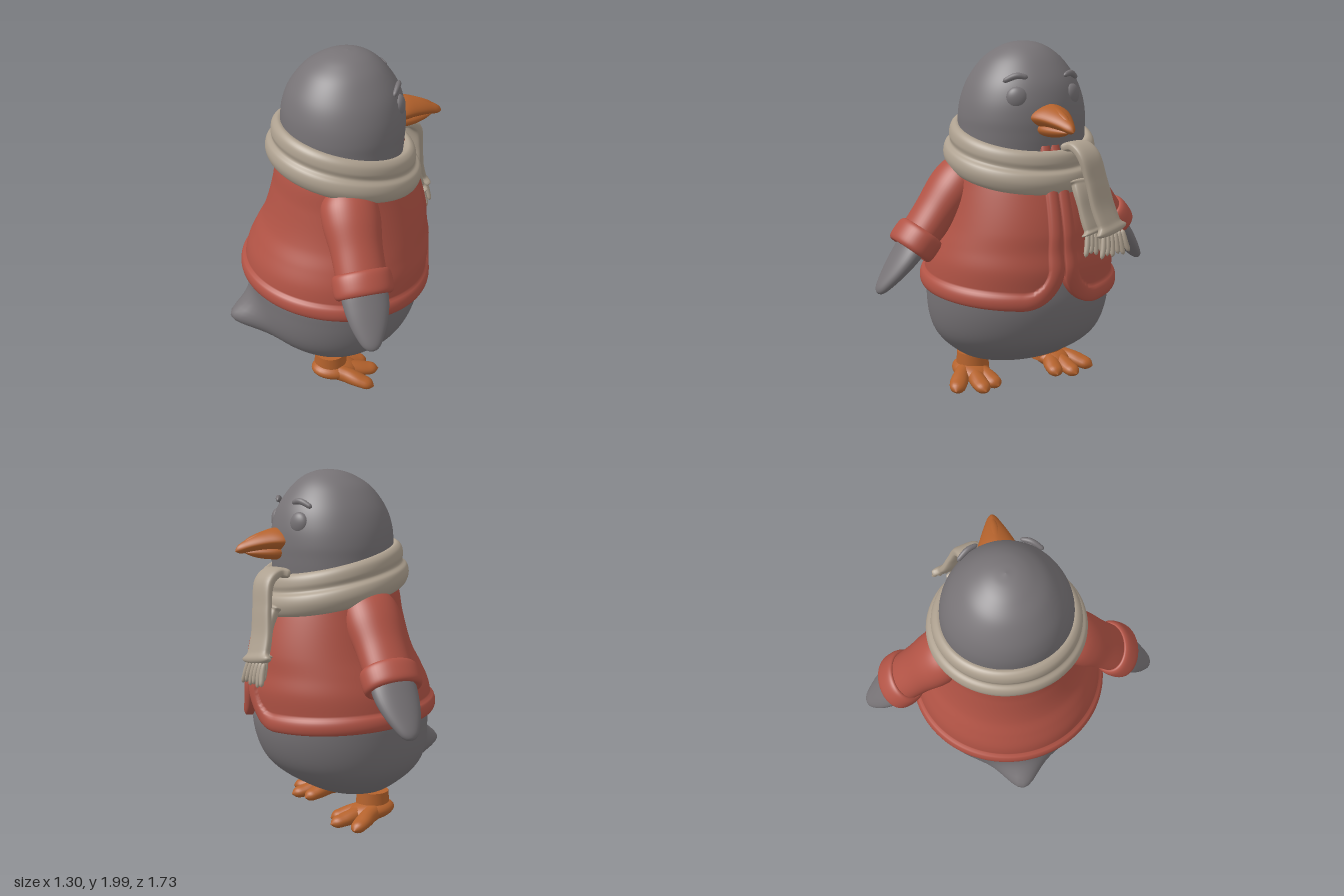
import * as THREE from 'three';

const V = (x, y, z) => new THREE.Vector3(x, y, z);
const TAU = Math.PI * 2;

const mats = {
  plumage: new THREE.MeshStandardMaterial({ color: 0x777376 }),
  coat: new THREE.MeshStandardMaterial({ color: 0xb15345, side: THREE.DoubleSide }),
  wool: new THREE.MeshStandardMaterial({ color: 0xada08f }),
  horn: new THREE.MeshStandardMaterial({ color: 0xb4622c }),
};
for (const k in mats) mats[k].name = k;

// Smooth surface, closed around u, open along v
function grid(nu, nv, f) {
  const pos = [], idx = [];
  for (let j = 0; j <= nv; j++) {
    for (let i = 0; i < nu; i++) {
      const p = f(i / nu, j / nv, j);
      pos.push(p.x, p.y, p.z);
      if (j === nv) continue;
      const a = j * nu + i, b = j * nu + (i + 1) % nu;
      idx.push(a, b, b + nu, a, b + nu, a + nu);
    }
  }
  const g = new THREE.BufferGeometry();
  g.setAttribute('position', new THREE.Float32BufferAttribute(pos, 3));
  g.setIndex(idx);
  g.computeVertexNormals();
  return g;
}

function interpolate(times, rows) {
  const it = new THREE.CubicInterpolant(times, rows.flat(), rows[0].length);
  return t => Array.from(it.evaluate(t));
}

// Stack of ellipses, each given as [y, centreX, radiusX, radiusZ]
function loft(rows, nu = 64, per = 6, deform = p => p) {
  const at = interpolate(rows.map((_, i) => i), rows);
  return grid(nu, (rows.length - 1) * per, (u, v) => {
    const [y, cx, rx, rz] = at(v * (rows.length - 1));
    return deform(V(cx + rx * Math.cos(u * TAU), y, -rz * Math.sin(u * TAU)));
  });
}

// Sweep along a path; keys are [t, half width, half thickness]
function sweep(points, keys, { wide = V(0, 0, 1), power = 1, nu = 20, nv = 32 } = {}) {
  const curve = new THREE.CatmullRomCurve3(points.map(p => V(...p)));
  const at = interpolate(keys.map(k => k[0]), keys.map(k => k.slice(1)));
  const pw = c => Math.sign(c) * Math.abs(c) ** power;
  return grid(nu, nv, (u, v) => {
    const t = (1 - Math.cos(Math.PI * v)) / 2;
    const T = curve.getTangentAt(t);
    const w = wide.clone().addScaledVector(T, -wide.dot(T)).normalize();
    const n = T.clone().cross(w);
    const [a, b] = at(t).map(r => Math.max(r, 0.0005));
    return curve.getPointAt(t)
      .addScaledVector(w, a * pw(Math.cos(u * TAU)))
      .addScaledVector(n, b * pw(Math.sin(u * TAU)));
  });
}
const rod = (r, r2 = r) => [[0, 0, 0], [0.06, r * 0.7, r2 * 0.7], [0.2, r, r2], [0.8, r, r2], [0.94, r * 0.7, r2 * 0.7], [1, 0, 0]];

// Jacket with rounded front corners and a raised border
function jacketGeometry() {
  const rows = [
    [0.55, -0.015, 0.535, 0.56], [0.65, -0.012, 0.53, 0.55], [0.8, 0.005, 0.525, 0.535],
    [0.9, 0.02, 0.495, 0.505], [1.0, 0.042, 0.465, 0.47], [1.2, 0.045, 0.41, 0.42],
    [1.35, 0.03, 0.365, 0.39], [1.5, 0.04, 0.3, 0.34]];
  const at = interpolate(rows.map(r => r[0]), rows.map(r => r.slice(1)));
  const R = 0.23, W = 0.088;
  return grid(220, 64, (u, v, j) => {
    const th = u * TAU - 0.6 * Math.sin(u * TAU);
    const px = Math.min(th, TAU - th) * 0.54;
    const base = 0.615 - 0.035 * Math.cos(th);
    const cut = px < R ? R - Math.sqrt(R * R - (R - px) ** 2) : 0;
    const s = Math.max(0, (j - 1) / 63) ** 1.4;
    const y = base + cut + (1.46 - base - cut) * s;
    const py = y - base;
    const d = px < R && py < R ? R - Math.hypot(R - px, R - py) : Math.min(px, py);
    let o = d < W ? 0.004 + 0.02 * Math.sqrt(Math.max(0, Math.sin(Math.PI * d / W))) : 0;
    if (j === 0) o = -0.06;
    const [cx, rx, rz] = at(y);
    return V(cx + (rx + o) * Math.cos(th), y, -(rz + o) * Math.sin(th));
  });
}

export function createModel() {
  const model = new THREE.Group();
  const add = (name, geo, mat, parent = model) => {
    const m = new THREE.Mesh(geo, mat);
    m.name = name;
    parent.add(m);
    return m;
  };

  // Body and head in one skin, with the tail pulled out of the back
  add('body', loft([
    [0.14, -0.08, 0.001, 0.001], [0.145, -0.08, 0.1, 0.15], [0.17, -0.06, 0.19, 0.26], [0.21, -0.05, 0.27, 0.35],
    [0.3, -0.04, 0.4, 0.455], [0.4, -0.03, 0.47, 0.51], [0.55, -0.015, 0.5, 0.535], [0.7, -0.01, 0.49, 0.525],
    [1.0, 0.02, 0.4, 0.43], [1.3, 0.03, 0.335, 0.37], [1.5, 0.035, 0.34, 0.362], [1.6, 0.035, 0.345, 0.36],
    [1.7, 0.035, 0.335, 0.34], [1.8, 0.037, 0.3, 0.297], [1.9, 0.04, 0.228, 0.223], [1.96, 0.05, 0.15, 0.145],
    [1.99, 0.055, 0.075, 0.075], [2, 0.06, 0.001, 0.001],
  ], 96, 6, p => {
    if (p.x < 0) {
      const back = THREE.MathUtils.smoothstep(-p.x, 0.1, 0.4);
      p.x -= 0.16 * back * Math.exp(-(((p.y - 0.375) / 0.1) ** 2) - (p.z / 0.13) ** 2);
    }
    return p;
  }), mats.plumage);

  add('jacket', jacketGeometry(), mats.coat);

  // Scarf wrap: two soft folds, tilted down to the front
  const fold = new THREE.CatmullRomCurve3([
    [0.31, -0.08], [0.37, -0.125], [0.42, -0.115], [0.445, -0.06], [0.435, -0.01], [0.408, 0.015],
    [0.412, 0.05], [0.4, 0.095], [0.37, 0.115], [0.33, 0.09], [0.3, 0]].map(p => V(p[0], p[1], 0)), true);
  add('scarfWrap', grid(96, 60, (u, v) => {
    const p = fold.getPoint(v), c = Math.cos(u * TAU);
    return V(0.04 + p.x * 0.985 * c, 1.405 + p.y - 0.085 * c, -p.x * Math.sin(u * TAU));
  }), mats.wool);

  // Hanging scarf ends with fringe
  const wide = V(0.25, 0, 1).normalize();
  const scarfEnd = (name, path, half) => {
    const g = new THREE.Group();
    g.name = name;
    model.add(g);
    add('strip', sweep(path, [[0, 0, 0], [0.02, half * 0.85, 0.02], [0.1, half * 0.95, 0.027], [0.5, half, 0.024],
      [0.9, half * 1.1, 0.023], [0.985, half * 1.08, 0.018], [1, 0, 0]],
    { wide, power: 0.6, nu: 32, nv: 48 }), mats.wool, g);
    const [x, y, z] = path[path.length - 1];
    for (let i = 0; i < 6; i++) {
      const k = i / 2.5 - 1, s = k * half * 0.95;
      const px = x + wide.x * s, pz = z + wide.z * s, len = 0.105 + 0.012 * (i % 2);
      add('fringe', sweep([[px - 0.005, y + 0.02, pz], [px + 0.012, y - len / 2, pz + k * 0.012],
        [px + 0.024, y - len, pz + k * 0.03]], rod(0.014), { nu: 10, nv: 12 }), mats.wool, g);
    }
  };
  scarfEnd('scarfFrontEnd', [[0.36, 1.44, -0.13], [0.44, 1.455, -0.14], [0.5, 1.41, -0.16], [0.53, 1.27, -0.195],
    [0.55, 1.12, -0.23], [0.595, 0.98, -0.268]], 0.075);
  scarfEnd('scarfBackEnd', [[0.45, 1.28, -0.14], [0.495, 1.18, -0.15], [0.525, 1.07, -0.17], [0.55, 0.99, -0.19]], 0.07);

  // Beak halves
  add('upperBeak', sweep([[0.3, 1.615, 0], [0.42, 1.612, 0], [0.53, 1.59, 0], [0.612, 1.56, 0]],
    [[0, 0.118, 0.06], [0.2, 0.117, 0.07], [0.45, 0.088, 0.057], [0.75, 0.048, 0.036], [0.95, 0.017, 0.017], [1, 0, 0]],
    { power: 1.25, nu: 40 }), mats.horn);
  add('beakRidge', sweep([[0.31, 1.645, 0], [0.42, 1.635, 0], [0.53, 1.605, 0], [0.6, 1.568, 0]],
    [[0, 0.04, 0.045], [0.4, 0.04, 0.038], [0.8, 0.02, 0.022], [1, 0, 0]]), mats.horn);
  add('lowerBeak', sweep([[0.3, 1.555, 0], [0.42, 1.55, 0], [0.56, 1.55, 0]],
    [[0, 0.08, 0.045], [0.4, 0.078, 0.042], [0.8, 0.035, 0.022], [1, 0, 0]]), mats.horn);

  for (const side of [1, -1]) {
    const label = side > 0 ? 'near' : 'far';

    // Eye and brow
    const eye = add(label + 'Eye', new THREE.SphereGeometry(0.06, 32, 20), mats.plumage);
    eye.position.set(0.298, 1.715, side * 0.168);
    eye.rotation.y = -side * 0.5;
    eye.scale.set(0.6, 1.05, 1);
    add(label + 'Brow', sweep([[0.318, 1.825, side * 0.11], [0.293, 1.835, side * 0.165], [0.25, 1.803, side * 0.228]],
      rod(0.015, 0.013), { wide: V(0, 1, 0), nu: 12, nv: 20 }), mats.plumage);

    // Arm: sleeve, rolled cuff and flipper
    const arm = new THREE.Group();
    arm.name = label + 'Arm';
    arm.position.set(-0.035, 1.22, side * 0.38);
    arm.rotation.x = -side * 0.685;
    model.add(arm);
    add('sleeve', loft([[-0.43, 0, 0.13, 0.095], [-0.34, 0, 0.14, 0.105], [-0.2, 0, 0.145, 0.115], [-0.05, 0, 0.162, 0.13],
      [0.06, 0, 0.15, 0.12], [0.14, 0, 0.09, 0.08], [0.16, 0, 0.001, 0.001]], 48), mats.coat, arm);
    add('cuff', loft([[-0.43, 0, 0.11, 0.07], [-0.46, 0, 0.14, 0.105], [-0.445, 0, 0.163, 0.126], [-0.395, 0, 0.168, 0.131],
      [-0.345, 0, 0.163, 0.127], [-0.325, 0, 0.145, 0.112], [-0.34, 0, 0.12, 0.09]], 48), mats.coat, arm);
    add('flipper', loft([[-0.755, -0.008, 0.001, 0.001], [-0.745, -0.008, 0.03, 0.018], [-0.71, -0.008, 0.06, 0.032],
      [-0.62, -0.004, 0.1, 0.047], [-0.52, 0, 0.125, 0.06], [-0.42, 0, 0.13, 0.068], [-0.32, 0, 0.11, 0.06]], 40), mats.plumage, arm);

    // Foot: ankle, pad and three toes
    const foot = new THREE.Group();
    foot.name = label + 'Foot';
    model.add(foot);
    const pad = add('pad', new THREE.SphereGeometry(1, 32, 20), mats.horn, foot);
    pad.scale.set(0.14, 0.055, 0.105);
    pad.position.set(-0.09, 0.078, side * 0.27);
    pad.rotation.z = -0.12;
    const ankle = add('ankle', new THREE.CylinderGeometry(0.09, 0.1, 0.12, 32), mats.horn, foot);
    ankle.position.set(-0.11, 0.125, side * 0.25);
    for (const [x, z] of [[0.13, 0.195], [0.175, 0.3], [0.1, 0.455]]) {
      add('toe', sweep([[-0.14, 0.085, side * 0.265], [-0.02, 0.065, side * (0.265 + (z - 0.265) * 0.55)], [x, 0.03, side * z]],
        [[0, 0, 0], [0.1, 0.04, 0.035], [0.45, 0.047, 0.045], [0.75, 0.05, 0.036], [0.92, 0.034, 0.026], [1, 0, 0]]), mats.horn, foot);
    }
  }
  return model;
}
